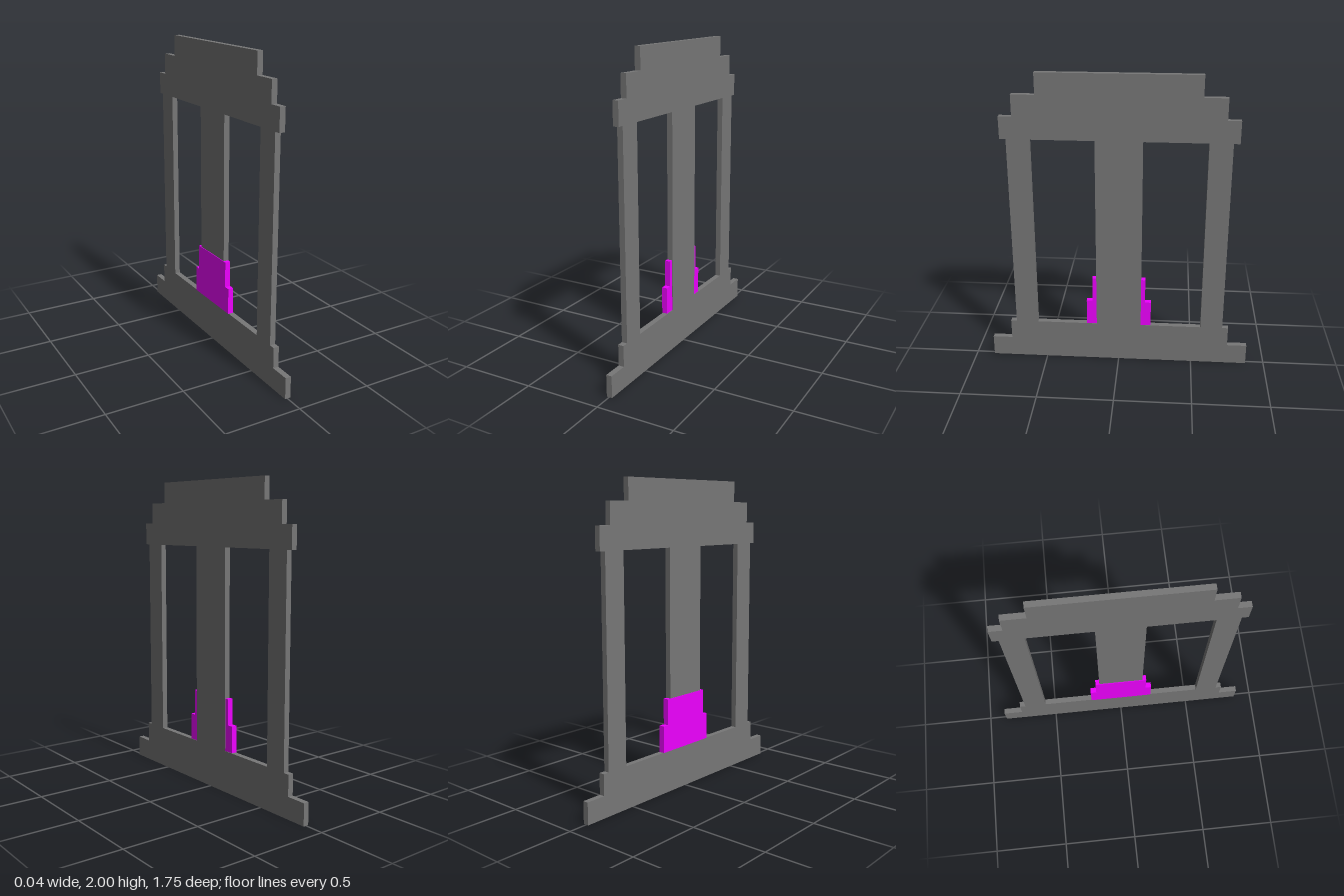
import * as THREE from 'three';

// Half profile points [z, y], bottom to top, mirrored into a closed outline
function mirroredShape(half) {
  const points = [...half, ...half.map(([z, y]) => [-z, y]).reverse()];
  return new THREE.Shape(points.map(([z, y]) => new THREE.Vector2(z, y)));
}

// Upright slab in the z-y plane, spanning x0 to x1
function slab(name, shape, x0, x1, color) {
  const geometry = new THREE.ExtrudeGeometry(shape, { depth: x1 - x0, bevelEnabled: false });
  geometry.rotateY(Math.PI / 2);
  geometry.translate(x0, 0, 0);
  const mesh = new THREE.Mesh(geometry, new THREE.MeshStandardMaterial({ color }));
  mesh.name = name;
  return mesh;
}

export function createModel() {
  const group = new THREE.Group();
  group.name = 'steppedWindowPanel';

  // Frame with stepped base, posts and stepped head
  const frame = mirroredShape([
    [0.876, 0], [0.876, 0.14], [0.744, 0.14], [0.744, 0.275], [0.704, 0.275],
    [0.704, 1.58], [0.744, 1.58], [0.744, 1.725], [0.66, 1.725],
    [0.66, 1.863], [0.511, 1.863], [0.511, 2],
  ]);

  // Two tall openings either side of the central pillar
  for (const side of [-1, 1]) {
    const corners = [[0.15, 0.275], [0.15, 1.58], [0.556, 1.58], [0.556, 0.275]];
    frame.holes.push(new THREE.Path(corners.map(([z, y]) => new THREE.Vector2(side * z, y))));
  }
  group.add(slab('frame', frame, -0.017, 0.02, 0x777777));

  // Stepped plinth around the foot of the pillar, proud of the -x face
  const plinth = mirroredShape([
    [0.217, 0.275], [0.217, 0.45], [0.177, 0.45], [0.177, 0.62],
  ]);
  group.add(slab('pillarPlinth', plinth, -0.021, 0.016, 0xee00ff));

  return group;
}
